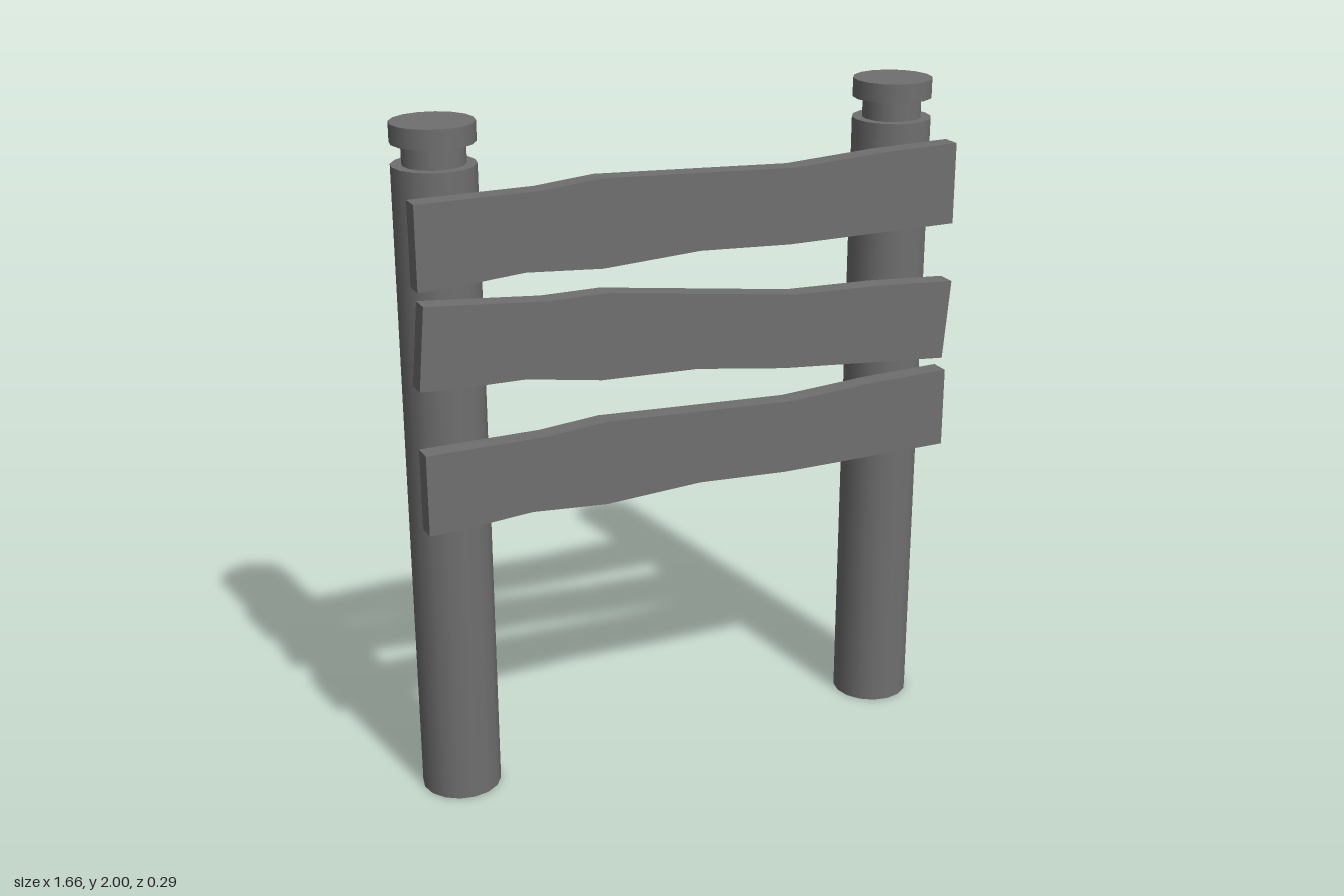
import * as THREE from 'three';
import { toCreasedNormals } from 'three/addons/utils/BufferGeometryUtils.js';

const material = new THREE.MeshStandardMaterial({ color: 0x6f6f6f });

// Round post with a notched neck and a flat cap
function makePost(x) {
  const post = new THREE.Group();
  post.name = 'post';
  const sections = [
    ['postShaft', 0.117, 0, 1.885],
    ['postNeck', 0.087, 1.885, 1.945],
    ['postCap', 0.117, 1.945, 2],
  ];
  for (const [name, radius, bottom, top] of sections) {
    const mesh = new THREE.Mesh(new THREE.CylinderGeometry(radius, radius, top - bottom, 16), material);
    mesh.name = name;
    mesh.position.y = (bottom + top) / 2;
    post.add(mesh);
  }
  post.position.set(x, 0, -0.03);
  return post;
}

// Uneven board outline, relative to the board's centre
const outline = [
  [-0.824, -0.122], [-0.71, -0.118], [-0.52, -0.104], [-0.295, -0.121], [0, -0.106], [0.28, -0.121], [0.823, -0.121],
  [0.823, 0.119], [0.57, 0.115], [0.295, 0.1], [0, 0.115], [-0.295, 0.13], [-0.47, 0.115], [-0.824, 0.115],
];
const boardShape = new THREE.Shape(outline.map(([x, y]) => new THREE.Vector2(x, y)));
// Smooth along the wavy edges, sharp at the corners
const boardGeometry = toCreasedNormals(
  new THREE.ExtrudeGeometry(boardShape, { depth: 0.059, bevelEnabled: false }),
  Math.PI / 6,
);

function makeBoard(name, y, tilt = 0) {
  const board = new THREE.Mesh(boardGeometry, material);
  board.name = name;
  board.position.set(0, y, 0.088);
  board.rotation.z = tilt;
  return board;
}

export function createModel() {
  const fence = new THREE.Group();
  fence.name = 'fence';
  fence.add(makePost(-0.706), makePost(0.706));
  fence.add(
    makeBoard('upperBoard', 1.71),
    makeBoard('middleBoard', 1.363, -0.086), // hangs askew
    makeBoard('lowerBoard', 1.012),
  );
  return fence;
}
